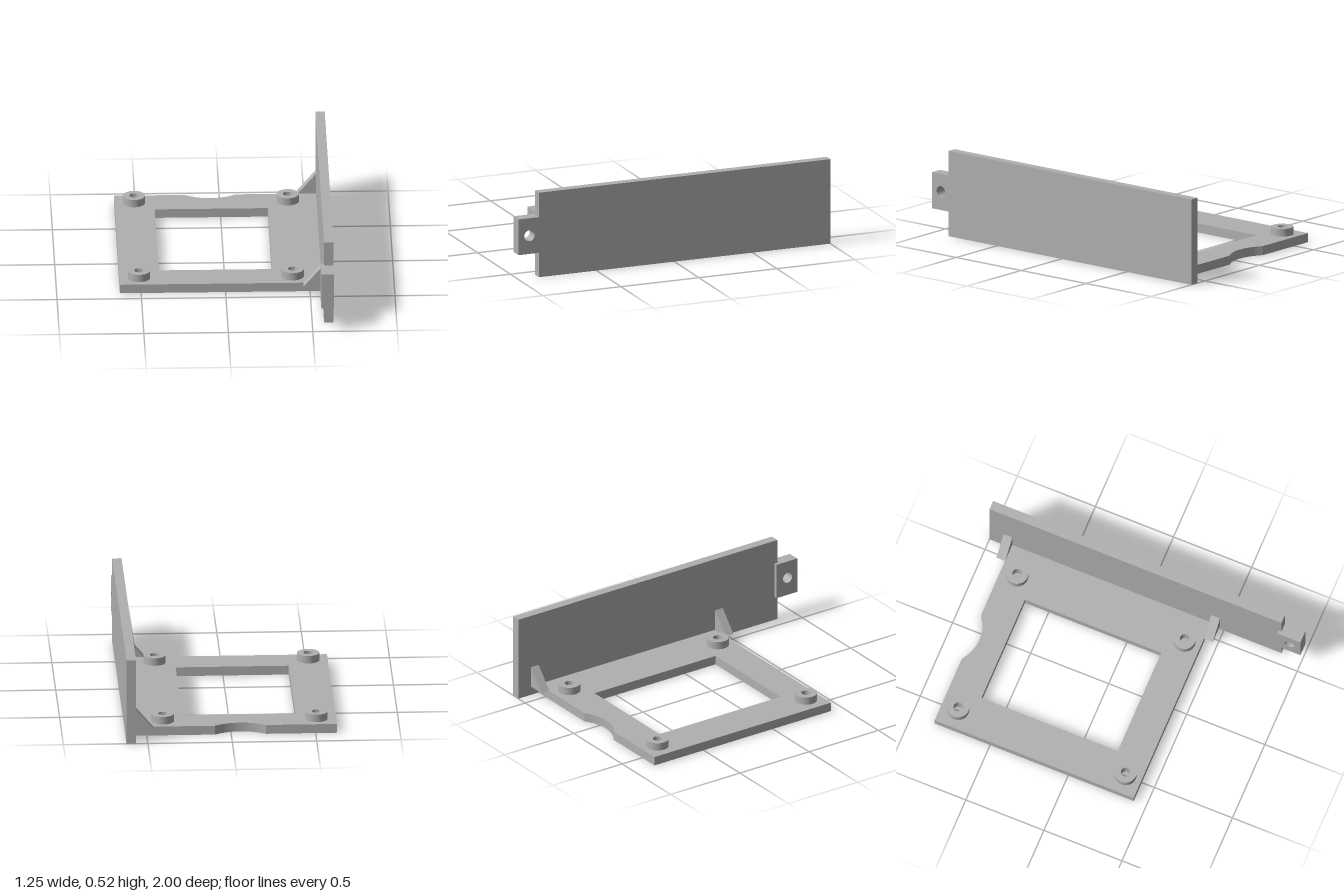
import * as THREE from 'three';
import { toCreasedNormals } from 'three/addons/utils/BufferGeometryUtils.js';

const PLATE_TOP = 0.055;
const WALL_IN = 0.57, WALL_OUT = 0.626;

function polygon(points) {
  return new THREE.Shape(points.map(([x, y]) => new THREE.Vector2(x, y)));
}

function circleHole(x, y, r) {
  const p = new THREE.Path();
  p.absarc(x, y, r, 0, Math.PI * 2, true);
  return p;
}

function extrude(shape, depth) {
  const g = new THREE.ExtrudeGeometry(shape, { depth, bevelEnabled: false, curveSegments: 24 });
  return toCreasedNormals(g, 0.6);
}

export function createModel() {
  const model = new THREE.Group();
  model.name = 'mountingBracket';
  const grey = new THREE.MeshStandardMaterial({ color: 0xb0b0b0 });
  grey.name = 'grey';

  const add = (name, geometry) => {
    const mesh = new THREE.Mesh(geometry, grey);
    mesh.name = name;
    model.add(mesh);
    return mesh;
  };

  const bossSpots = [];
  for (const x of [-0.51, 0.4]) for (const z of [-0.752, 0.32]) bossSpots.push([x, z]);

  // Base plate, drawn in (x, -z), with a shallow arc cut in its back edge
  const plate = new THREE.Shape();
  const half = Math.asin(0.15 / 0.25);
  plate.moveTo(-WALL_OUT, -0.42);
  plate.lineTo(WALL_IN, -0.42);
  plate.lineTo(WALL_IN, 0.855);
  plate.lineTo(0.095, 0.855);
  plate.absarc(-0.055, 1.055, 0.25, -Math.PI / 2 + half, -Math.PI / 2 - half, true);
  plate.lineTo(-WALL_OUT, 0.855);
  plate.closePath();
  plate.holes.push(polygon([[-0.39, -0.22], [-0.39, 0.653], [0.28, 0.653], [0.28, -0.22]]));
  for (const [x, z] of bossSpots) plate.holes.push(circleHole(x, -z, 0.045));
  add('basePlate', extrude(plate, PLATE_TOP).rotateX(-Math.PI / 2));

  // Screw bosses: raised ring, through bore and recess ceiling underneath
  const profile = [[0.066, PLATE_TOP], [0.066, 0.102], [0.028, 0.102], [0.028, 0.035], [0.045, 0.035]]
    .map(([r, y]) => new THREE.Vector2(r, y));
  const bossGeometry = toCreasedNormals(new THREE.LatheGeometry(profile, 40), 0.6);
  for (const [x, z] of bossSpots) add('screwBoss', bossGeometry).position.set(x, 0, z);

  // Side wall with its ear, drawn in (-z, y)
  const wall = polygon([[1, 0], [1, 0.52], [-0.87, 0.52], [-0.87, 0.37], [-1, 0.37],
    [-1, 0.15], [-0.87, 0.15], [-0.87, 0]]);
  wall.holes.push(circleHole(-0.93, 0.262, 0.033));
  add('sideWall', extrude(wall, WALL_OUT - WALL_IN).rotateY(Math.PI / 2)).position.x = WALL_IN;

  // Thickening pad on the inner face of the ear
  const pad = polygon([[-0.85, 0.15], [-0.85, 0.37], [-1, 0.37], [-1, 0.15]]);
  pad.holes.push(circleHole(-0.93, 0.262, 0.033));
  add('earPad', extrude(pad, 0.02).rotateY(Math.PI / 2)).position.x = WALL_IN - 0.02;

  // Triangular gussets just outside the front and back plate edges
  const gusset = polygon([[0.46, PLATE_TOP], [WALL_IN, PLATE_TOP], [WALL_IN, 0.183]]);
  for (const z of [-0.91, 0.42]) add('gusset', extrude(gusset, 0.056)).position.z = z;

  return model;
}
